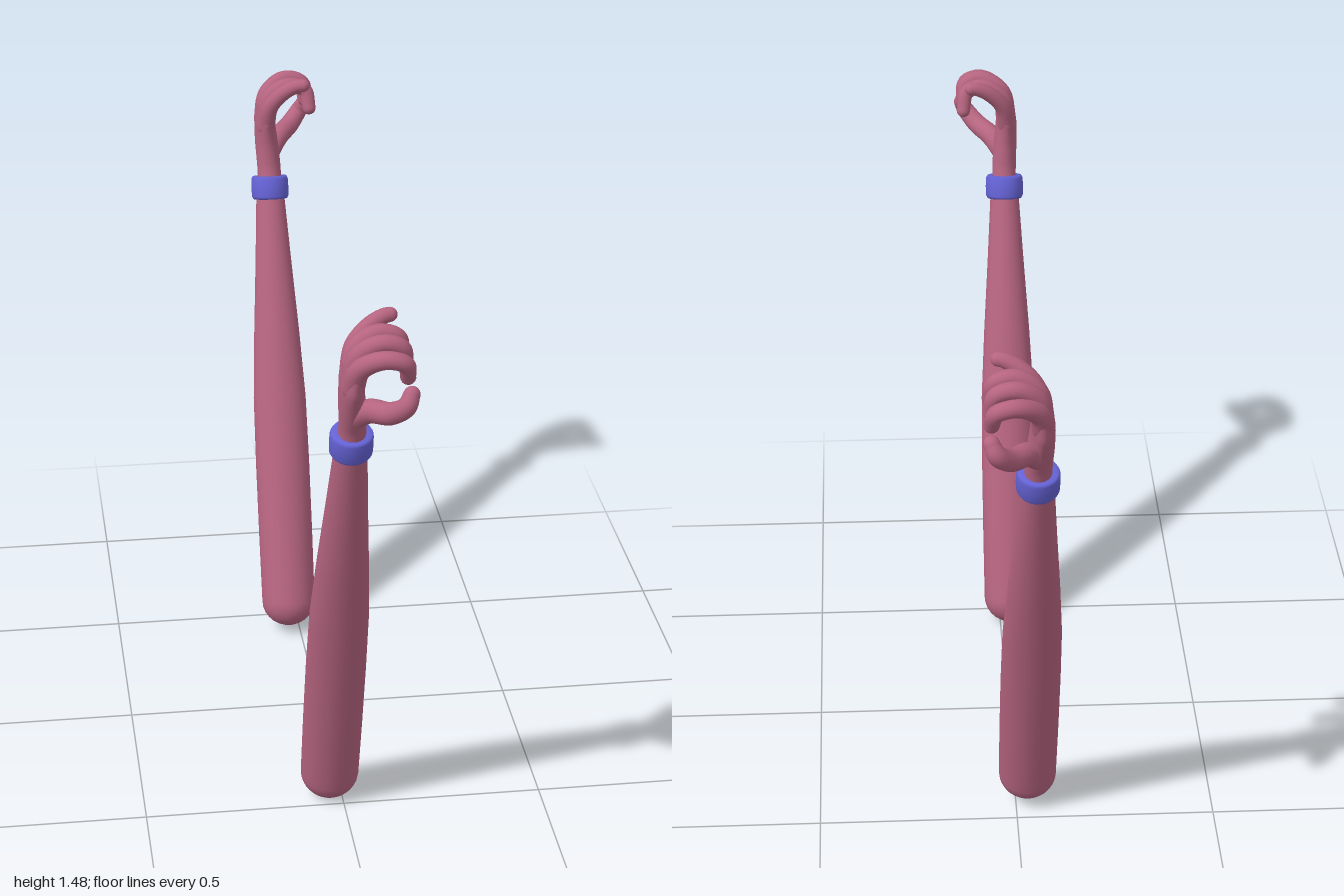
import * as THREE from 'three';

const skin = new THREE.MeshStandardMaterial({ color: 0xb5647f });
const blue = new THREE.MeshStandardMaterial({ color: 0x6462d4 });

// Sweeps an ellipse along a curve with round ends. Each point is
// [x, y, z, radius along side, radius across side].
function sweep(points, side, cap = 1, steps = 24, seg = 20) {
  const curve = new THREE.CatmullRomCurve3(points.map(p => new THREE.Vector3(p[0], p[1], p[2])));
  const n = points.length - 1;
  const rings = [];
  const radius = (t, k) => {
    const f = t * n, i = Math.min(Math.floor(f), n - 1);
    return THREE.MathUtils.lerp(points[i][k], points[i + 1][k], f - i);
  };
  const addRing = (t, shift, scale) => {
    const a = radius(t, 3), b = radius(t, 4);
    const T = curve.getTangent(t);
    const u = side.clone().addScaledVector(T, -side.dot(T)).normalize();
    const v = T.clone().cross(u);
    const c = curve.getPoint(t).addScaledVector(T, shift * Math.min(a, b) * cap);
    rings.push({ c, u: u.multiplyScalar(a * scale), v: v.multiplyScalar(b * scale) });
  };
  const capSteps = 7;
  for (let i = 0; i < capSteps; i++) {
    const a = (i / capSteps) * Math.PI / 2;
    addRing(0, -Math.cos(a), Math.max(Math.sin(a), 0.002));
  }
  for (let i = 0; i <= steps; i++) addRing(i / steps, 0, 1);
  for (let i = capSteps - 1; i >= 0; i--) {
    const a = (i / capSteps) * Math.PI / 2;
    addRing(1, Math.cos(a), Math.max(Math.sin(a), 0.002));
  }
  const pos = [], index = [];
  rings.forEach(({ c, u, v }, r) => {
    for (let j = 0; j < seg; j++) {
      const a = (j / seg) * Math.PI * 2;
      const p = c.clone().addScaledVector(u, Math.cos(a)).addScaledVector(v, Math.sin(a));
      pos.push(p.x, p.y, p.z);
      if (r === rings.length - 1) continue;
      const k = (j + 1) % seg, A = r * seg + j, B = r * seg + k;
      index.push(A, B, A + seg, B, B + seg, A + seg);
    }
  });
  const g = new THREE.BufferGeometry();
  g.setAttribute('position', new THREE.Float32BufferAttribute(pos, 3));
  g.setIndex(index);
  g.computeVertexNormals();
  return g;
}

const X = new THREE.Vector3(1, 0, 0), Z = new THREE.Vector3(0, 0, 1);

// Paths of the curled digits, for the arm on the +z side
const digits = {
  thumb: [[-0.03, 1.25, 0.85, 0.028], [0.0, 1.283, 0.89, 0.028], [0.04, 1.3, 0.945, 0.026],
    [0.07, 1.33, 0.975, 0.023], [0.082, 1.355, 0.968, 0.019]],
  indexFinger: [[-0.038, 1.34, 0.89, 0.026], [-0.025, 1.4, 0.92, 0.024], [0.025, 1.432, 0.95, 0.021],
    [0.07, 1.42, 0.95, 0.02], [0.08, 1.378, 0.925, 0.018]],
  middleFinger: [[-0.038, 1.35, 0.872, 0.026], [-0.026, 1.415, 0.885, 0.024], [0.025, 1.45, 0.9, 0.021],
    [0.07, 1.436, 0.898, 0.02], [0.08, 1.39, 0.885, 0.018]],
  ringFinger: [[-0.038, 1.35, 0.845, 0.026], [-0.026, 1.415, 0.84, 0.024], [0.025, 1.45, 0.84, 0.021],
    [0.07, 1.436, 0.838, 0.02], [0.08, 1.39, 0.822, 0.018]],
  littleFinger: [[-0.038, 1.34, 0.825, 0.024], [-0.026, 1.405, 0.806, 0.022], [0.01, 1.447, 0.793, 0.02],
    [0.045, 1.466, 0.785, 0.018], [0.06, 1.468, 0.782, 0.017]],
};

// s mirrors front to back, (footY, footZ) is the centre of the rounded lower end
function makeArm(name, s, footY, footZ) {
  const arm = new THREE.Group();
  arm.name = name;
  const add = (part, geometry, material = skin) => {
    const mesh = new THREE.Mesh(geometry, material);
    mesh.name = part;
    arm.add(mesh);
    return mesh;
  };
  const wrist = [1.17, 0.81];
  const at = (t, a, b) => [-0.03,
    footY + (wrist[0] - footY) * t, s * (footZ + (wrist[1] - footZ) * t - 0.01 * Math.sin(t * Math.PI)), a, b];

  // Long tapering arm
  add('forearm', sweep([
    at(0, 0.073, 0.07), at(0.17, 0.074, 0.068), at(0.34, 0.074, 0.064), at(0.5, 0.072, 0.059),
    at(0.66, 0.062, 0.054), at(0.83, 0.049, 0.046), at(1, 0.037, 0.037),
  ], X, 1, 36, 32));

  // Wrist band with rounded edges
  const profile = [[0.03, -0.031], [0.046, -0.031], [0.05, -0.024], [0.051, 0],
    [0.05, 0.024], [0.046, 0.031], [0.03, 0.031]].map(p => new THREE.Vector2(...p));
  const band = add('wristBand', new THREE.LatheGeometry(profile, 32), blue);
  band.position.set(-0.03, wrist[0], s * wrist[1]);
  band.rotation.x = s * 0.29;

  // Flat palm widening toward the knuckles
  add('palm', sweep([
    [-0.03, 1.14, s * 0.803, 0.032, 0.034], [-0.03, 1.22, s * 0.828, 0.032, 0.034],
    [-0.034, 1.285, s * 0.848, 0.031, 0.048], [-0.037, 1.34, s * 0.86, 0.028, 0.065],
    [-0.033, 1.385, s * 0.865, 0.025, 0.068],
  ], X, 1, 24, 28));

  for (const [part, path] of Object.entries(digits)) {
    add(part, sweep(path.map(([x, y, z, r]) => [x, y, s * z, r, r]), Z, 1, 24, 16));
  }
  return arm;
}

export function createModel() {
  const model = new THREE.Group();
  model.name = 'pairOfArms';
  model.add(makeArm('frontArm', 1, 0.075, 0.45), makeArm('backArm', -1, 0.092, 0.42));
  return model;
}
